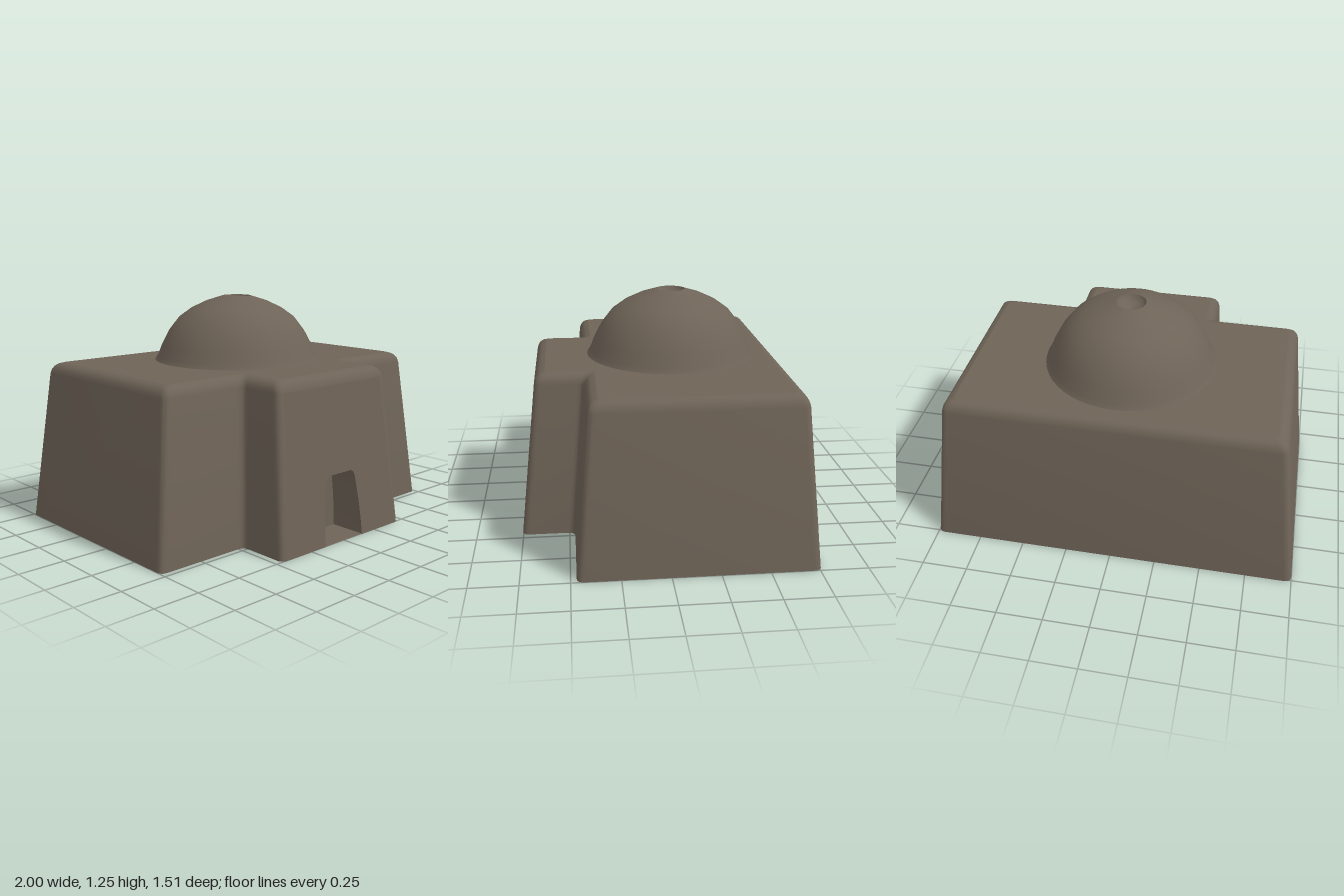
import * as THREE from 'three';
import { toCreasedNormals } from 'three/addons/utils/BufferGeometryUtils.js';

const DOME_Z = -0.1, DOOR_BACK = 0.55, WALL_TOP = 0.83;
const frontZ = y => 0.755 - 0.11 * y; // sloping face of the entrance wing

// Rounded T-shaped plan at height y, pulled in by b for the rounded roof edge
function plan(y, b, seg = 6) {
  const x = 1 - 0.119 * y - b, w = 0.465 - 0.065 * y - b;
  const zb = -0.76 + 0.085 * y + b, zf = 0.47 - 0.085 * y - b, zw = frontZ(y) - b;
  const c = [[-w, zw], [w, zw], [w, zf], [x, zf], [x, zb], [-x, zb], [-x, zf], [-w, zf]]
    .map(p => new THREE.Vector2(...p));
  const r = 0.04, out = [];
  c.forEach((p, i) => {
    const toward = q => p.clone().add(q.clone().sub(p).setLength(r));
    const a = toward(c[(i + 7) % 8]), e = toward(c[(i + 1) % 8]);
    out.push(...new THREE.QuadraticBezierCurve(a, p, e).getPoints(seg));
  });
  return out;
}

// Skin between two equal rows of points
function skin(rows, closed, skip = () => false) {
  const pos = [];
  for (let k = 0; k < rows.length - 1; k++) {
    const n = rows[k].length;
    for (let i = 0; i < (closed ? n : n - 1); i++) {
      if (skip(k, i)) continue;
      const j = (i + 1) % n;
      const a = rows[k][i], b = rows[k][j], c = rows[k + 1][j], d = rows[k + 1][i];
      for (const p of [a, b, c, a, c, d]) pos.push(p.x, p.y, p.z);
    }
  }
  const g = new THREE.BufferGeometry();
  g.setAttribute('position', new THREE.Float32BufferAttribute(pos, 3));
  return toCreasedNormals(g, 0.7);
}

// Lean a flat x-y geometry onto a surface z(y)
function lean(g, z) {
  const p = g.attributes.position;
  for (let i = 0; i < p.count; i++) p.setZ(i, z(p.getY(i)));
  g.computeVertexNormals();
  return g;
}

export function createModel() {
  const group = new THREE.Group();
  const clay = new THREE.MeshStandardMaterial({ color: 0x6e6357, side: THREE.DoubleSide });
  clay.name = 'brown clay';
  const add = (name, g) => {
    const m = new THREE.Mesh(g, clay);
    m.name = name;
    group.add(m);
    return m;
  };

  // Tapered walls with rounded upper edge; the wing front is left open for the doorway
  const levels = [[0, 0], [WALL_TOP, 0], [0.852, 0.004], [0.87, 0.013], [0.882, 0.026], [0.89, 0.05]];
  const plans = levels.map(([y, b]) => plan(y, b));
  const rows = plans.map((pl, k) => pl.map(p => new THREE.Vector3(p.x, levels[k][0], p.y)));
  add('walls', skin(rows, true, (k, i) => k === 0 && i === 6));

  // Flat roof
  const roof = new THREE.ShapeGeometry(
    new THREE.Shape(plans[plans.length - 1].map(p => new THREE.Vector2(p.x, -p.y))));
  add('roof', roof.rotateX(-Math.PI / 2)).position.y = 0.89;

  // Doorway outline, from bottom right over the arch to bottom left
  const half = [[0.145, 0], [0.142, 0.09], [0.134, 0.19], [0.122, 0.28], [0.114, 0.33], [0.106, 0.352], [0.085, 0.363]];
  const door = [...half, ...half.map(([x, y]) => [-x, y]).reverse()]
    .map(p => new THREE.Vector2(...p));

  // Wing front around the doorway
  const low = rows[0][7].x, high = rows[1][7].x;
  const front = new THREE.Shape([
    new THREE.Vector2(low, 0), new THREE.Vector2(high, WALL_TOP),
    new THREE.Vector2(-high, WALL_TOP), new THREE.Vector2(-low, 0),
    ...door.slice().reverse()]);
  add('entranceFront', lean(new THREE.ShapeGeometry(front), frontZ));

  // Doorway recess: reveal, back wall and floor
  const outer = door.map(p => new THREE.Vector3(p.x, p.y, frontZ(p.y)));
  const inner = door.map(p => new THREE.Vector3(p.x, p.y, DOOR_BACK));
  add('doorReveal', skin([outer, inner], false));
  add('doorBack', lean(new THREE.ShapeGeometry(new THREE.Shape(door)), () => DOOR_BACK));
  const depth = frontZ(0) - DOOR_BACK;
  add('doorFloor', new THREE.PlaneGeometry(0.29, depth).rotateX(-Math.PI / 2))
    .position.set(0, 0.002, DOOR_BACK + depth / 2);

  // Dome with flared foot and a small hollow at the crown
  const profile = [[0.473, 0.889], [0.455, 0.915], [0.432, 0.975], [0.39, 1.055], [0.332, 1.13],
    [0.26, 1.182], [0.175, 1.222], [0.08, 1.252]];
  const hollow = [[0.08, 1.252], [0.072, 1.235], [0.05, 1.215], [0, 1.205]];
  const lathe = pts => new THREE.LatheGeometry(pts.map(p => new THREE.Vector2(...p)), 48);
  add('dome', lathe(profile)).position.z = DOME_Z;
  add('domeHollow', lathe(hollow)).position.z = DOME_Z;

  return group;
}
